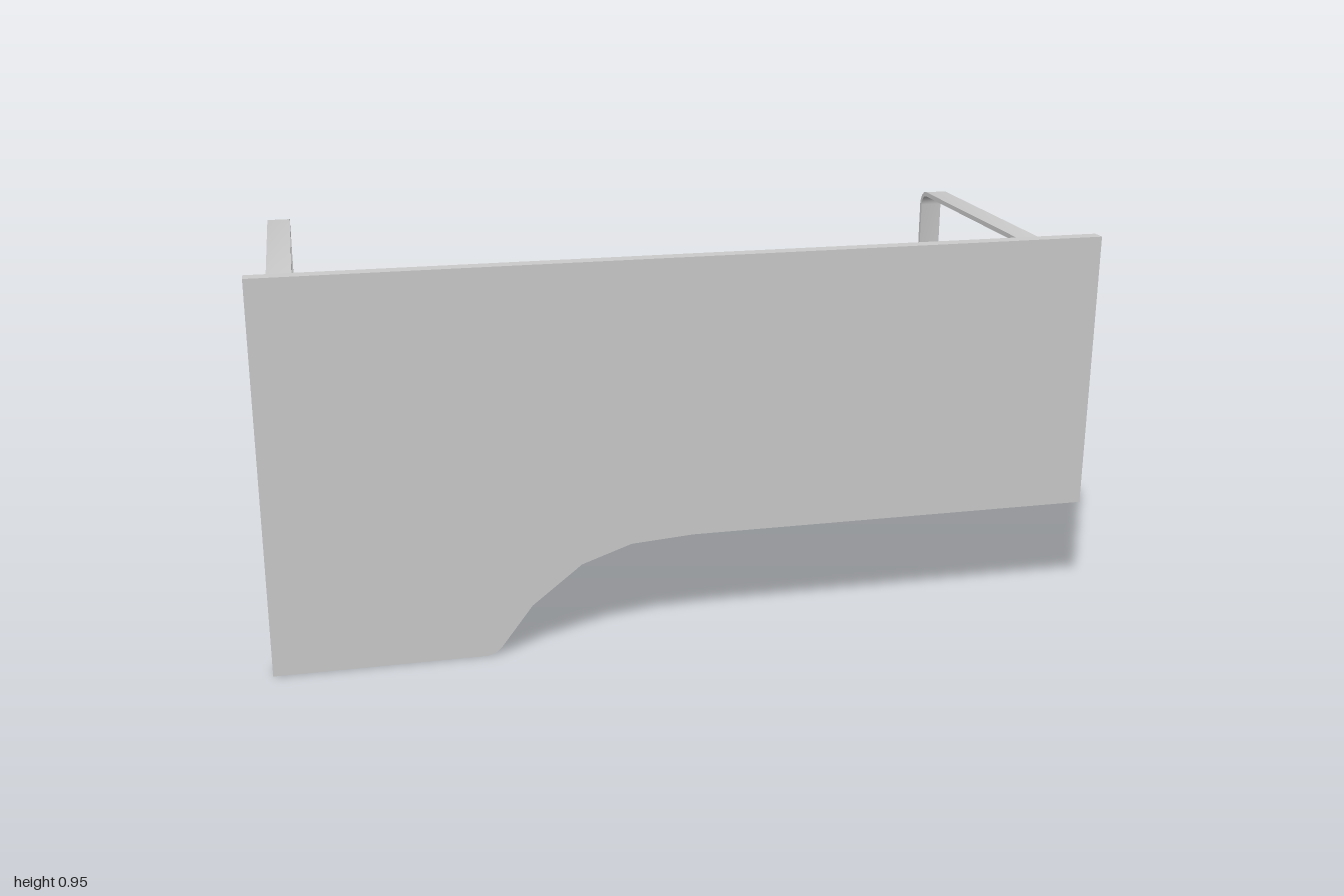
import * as THREE from 'three';
import { toCreasedNormals } from 'three/addons/utils/BufferGeometryUtils.js';

const material = new THREE.MeshStandardMaterial({ color: 0xcccccc });

// Extrude an outline of [x, y] points, keeping hard edges sharp
function extrude(points, depth) {
  const shape = new THREE.Shape(points.map(([x, y]) => new THREE.Vector2(x, y)));
  const geometry = new THREE.ExtrudeGeometry(shape, { depth, bevelEnabled: false });
  return toCreasedNormals(geometry, 0.6);
}

// One side of the bent strip, from the front foot over the top to the back foot
function bentLine(front, back, top, radius, bottom) {
  const steps = 4;
  const points = [[front, bottom]];
  for (const [z, start] of [[front - radius, 0], [back + radius, Math.PI / 2]]) {
    for (let i = 0; i <= steps; i++) {
      const a = start + (i / steps) * Math.PI / 2;
      points.push([z + radius * Math.cos(a), top - radius + radius * Math.sin(a)]);
    }
  }
  points.push([back, bottom]);
  return points;
}

// Flat strip bent into an upside-down U, running front to back
function makeBracket(name, x, bottom) {
  const width = 0.058, thick = 0.012, radius = 0.042;
  const front = 0.424, back = -0.459, top = 0.896;
  const outer = bentLine(front, back, top, radius, bottom);
  const inner = bentLine(front - thick, back + thick, top - thick, radius - thick, bottom);
  const geometry = extrude([...outer, ...inner.reverse()], width);
  geometry.rotateY(-Math.PI / 2);
  geometry.translate(x + width / 2, 0, 0);
  const mesh = new THREE.Mesh(geometry, material);
  mesh.name = name;
  return mesh;
}

export function createModel() {
  const group = new THREE.Group();
  group.name = 'panelWithBrackets';

  // Front panel with a curved step in its lower edge
  const panelGeometry = extrude([
    [-1, 0], [-0.5, 0], [-0.48, 0.006], [-0.465, 0.02],
    [-0.39, 0.12], [-0.27, 0.215], [-0.15, 0.257], [0, 0.268],
    [1, 0.268], [1, 0.948], [-1, 0.948],
  ], 0.035);
  panelGeometry.translate(0, 0, 0.424);
  const panel = new THREE.Mesh(panelGeometry, material);
  panel.name = 'frontPanel';
  group.add(panel);

  // Brackets: the one on the deep side of the panel has longer legs
  group.add(makeBracket('leftBracket', 0.927, 0.367));
  group.add(makeBracket('rightBracket', -0.927, 0.158));

  return group;
}
